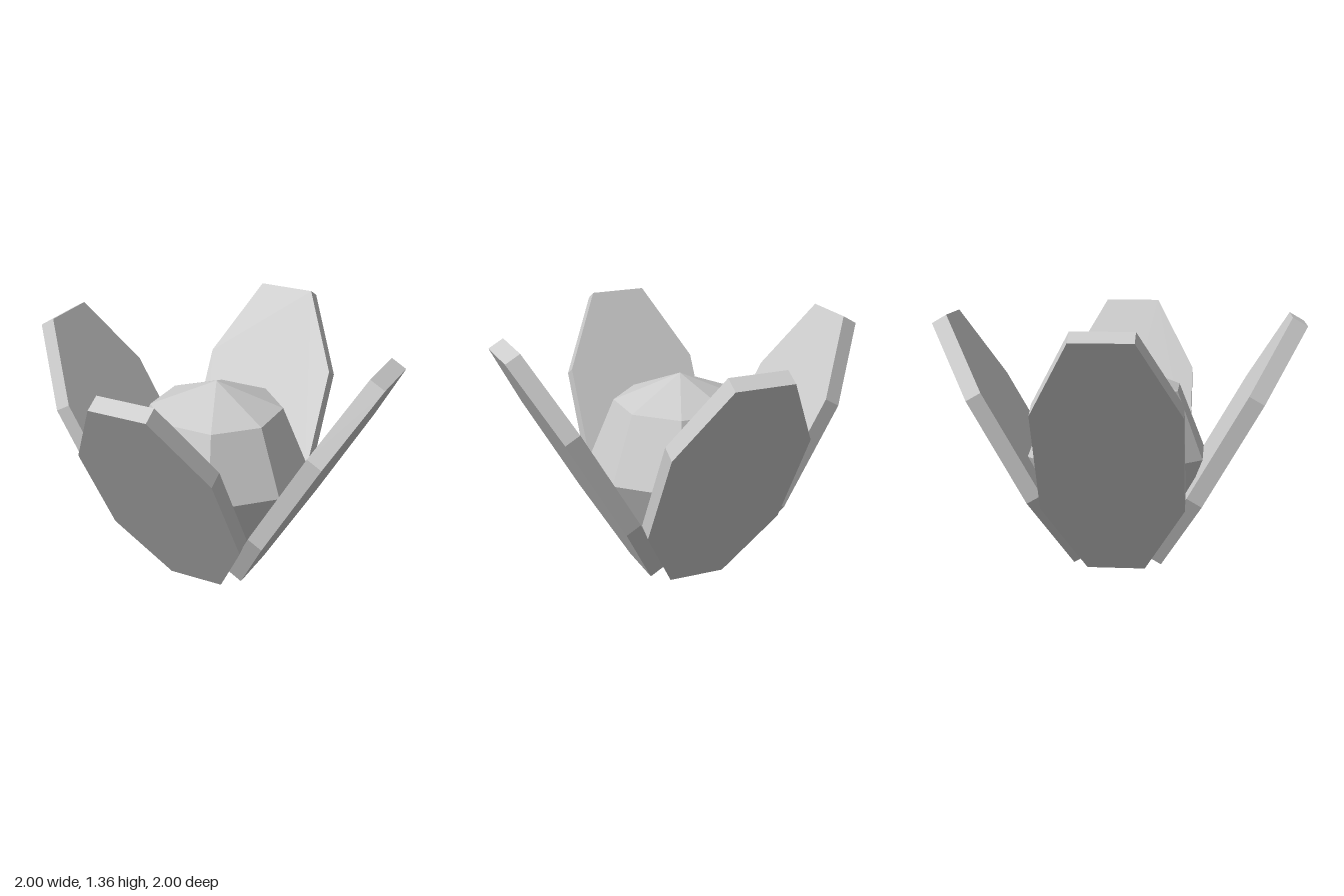
import * as THREE from 'three';

const LENGTH = 1.52, HALF_WIDTH = 0.378, THICKNESS = 0.092;
const TILT = Math.PI / 6;

// Stretched octagonal slab: base edge at the origin, outer face at z = 0
function petalGeometry() {
  const outline = [];
  const r = 1 / Math.cos(Math.PI / 8);
  for (let i = 0; i < 8; i++) {
    const a = (i + 0.5) * Math.PI / 4;
    outline.push(new THREE.Vector2(
      r * Math.cos(a) * HALF_WIDTH,
      (r * Math.sin(a) + 1) * LENGTH / 2
    ));
  }
  const geometry = new THREE.ExtrudeGeometry(new THREE.Shape(outline), {
    depth: THICKNESS, bevelEnabled: false
  });
  return geometry.translate(0, 0, -THICKNESS);
}

export function createModel() {
  const model = new THREE.Group();
  model.name = 'flower';
  const material = new THREE.MeshStandardMaterial({ color: 0xcccccc, flatShading: true });

  // Four petals leaning outward around the centre
  const geometry = petalGeometry();
  ['front', 'left', 'back', 'right'].forEach((side, i) => {
    const pivot = new THREE.Group();
    pivot.name = side + 'Petal';
    pivot.rotation.y = i * Math.PI / 2;
    const petal = new THREE.Mesh(geometry, material);
    petal.name = side + 'PetalSlab';
    petal.position.z = 0.24;
    petal.rotation.x = TILT;
    pivot.add(petal);
    model.add(pivot);
  });

  // Faceted ball held between the petals
  const core = new THREE.Mesh(new THREE.SphereGeometry(0.512, 8, 4, Math.PI / 8), material);
  core.name = 'core';
  core.position.set(0, 0.6, -0.012);
  model.add(core);

  return model;
}
